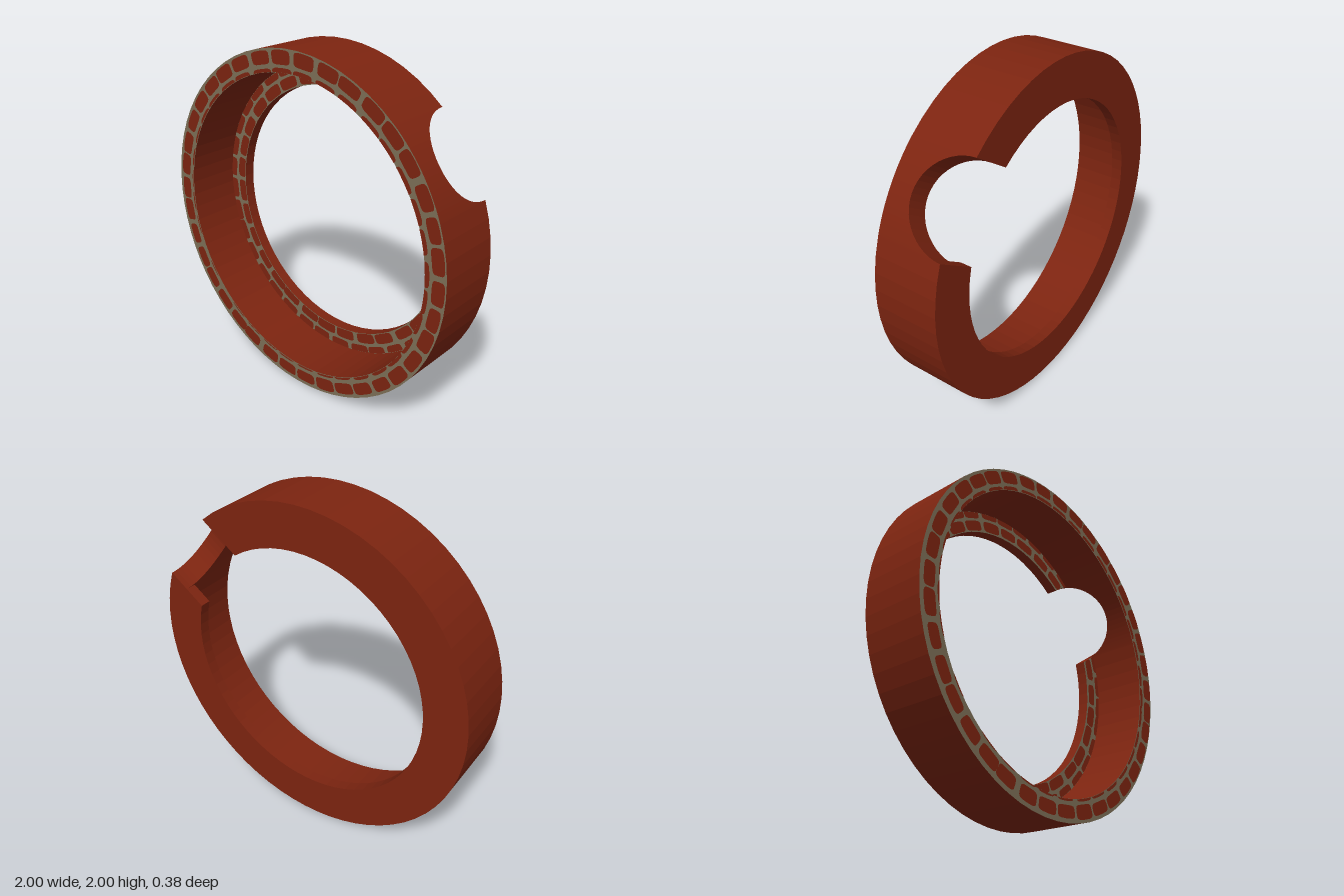
import * as THREE from 'three';
import { mergeGeometries } from 'three/addons/utils/BufferGeometryUtils.js';

const OUTER = 1, INNER = 0.875, LIP = 0.75;          // radii
const FRONT = 0.19, BACK = -0.19, LIP_Z = -0.125;    // depths
const AXIS = THREE.MathUtils.degToRad(35);           // direction of the notch
const CUT = 0.25;                                    // notch radius
const SEGMENTS = 60, CUT_SEGMENTS = 24;

const polar = (r, a, z) => new THREE.Vector3(r * Math.cos(a), 1 + r * Math.sin(a), z);

// Flat-shaded geometry from a list of quads, corners counter-clockwise
function quads(list) {
  const pts = list.flatMap(([a, b, c, d]) => [a, b, c, a, c, d]);
  const g = new THREE.BufferGeometry().setFromPoints(pts);
  g.computeVertexNormals();
  return g;
}

// Join chosen edges of neighbouring cross-sections
function loft(sections, edges) {
  const out = [];
  for (let i = 0; i < sections.length - 1; i++) {
    const s = sections[i], n = sections[i + 1];
    for (const e of edges) {
      const f = (e + 1) % s.length;
      out.push([s[e], n[e], n[f], s[f]]);
    }
  }
  return out;
}

// L-shaped section, swept around everything but the notch
function ringSections() {
  const profile = [[OUTER, BACK], [OUTER, FRONT], [INNER, FRONT], [INNER, LIP_Z], [LIP, LIP_Z], [LIP, BACK]];
  return Array.from({ length: SEGMENTS + 1 }, (_, i) => profile.map(([r, z]) => {
    const half = Math.asin(CUT / r);
    return polar(r, AXIS + half + (i / SEGMENTS) * 2 * (Math.PI - half), z);
  }));
}

// Wall section above the round notch
function notchSections() {
  return Array.from({ length: CUT_SEGMENTS + 1 }, (_, i) => {
    const phi = (i / CUT_SEGMENTS) * Math.PI;
    const floor = BACK + CUT * Math.sin(phi);
    return [[OUTER, floor], [OUTER, FRONT], [INNER, FRONT], [INNER, floor]].map(([r, z]) =>
      polar(r, AXIS + Math.asin(-CUT * Math.cos(phi) / r), z));
  });
}

function seeded(seed) {
  return () => (seed = (seed * 16807) % 2147483647) / 2147483647;
}

// One rounded brick face, kept inside a ring and out of the notch if asked
function brick(angle, halfAngle, radius, halfHeight, lo, hi, z, notched) {
  const side = Math.sin(angle - AXIS) < 0 ? -1 : 1;
  const pts = [];
  for (let k = 0; k < 20; k++) {
    const t = (k / 20) * Math.PI * 2;
    const c = Math.cos(t), s = Math.sin(t);
    let a = angle + halfAngle * Math.sign(c) * Math.abs(c) ** 0.45;
    const r = THREE.MathUtils.clamp(radius + halfHeight * Math.sign(s) * Math.abs(s) ** 0.45, lo, hi);
    if (notched && Math.cos(a - AXIS) > 0 && Math.abs(r * Math.sin(a - AXIS)) < CUT)
      a = AXIS + side * Math.asin(CUT / r);
    pts.push(new THREE.Vector2(r * Math.cos(a), 1 + r * Math.sin(a)));
  }
  return new THREE.ShapeGeometry(new THREE.Shape(pts)).translate(0, 0, z);
}

// Three courses of bricks; the middle one runs over both faces
function brickwork(lo, hi, z, notched) {
  const courses = [[0.948, 0.037, 38], [0.863, 0.03, 36], [0.785, 0.032, 31]];
  const out = [];
  courses.forEach(([r0, h, count], row) => {
    const rand = seeded(71 + row * 977);
    for (let i = 0; i < count; i++) {
      const step = (Math.PI * 2) / count;
      const a = (i + 0.5 * (row % 2) + (rand() - 0.5) * 0.12) * step;
      const half = step * (0.41 + rand() * 0.05);
      const r = r0 + 0.01 * Math.cos(a - 0.7);
      const hh = h * (0.92 + rand() * 0.16);
      const inNotch = Math.cos(a - AXIS) > 0 && Math.abs(r * Math.sin(a - AXIS)) < CUT;
      if (r + hh < lo + 0.006 || r - hh > hi - 0.006 || (notched && inNotch)) continue;
      out.push(brick(a, half, r, hh, lo, hi, z, notched));
    }
  });
  return mergeGeometries(out);
}

export function createModel() {
  const group = new THREE.Group();
  const red = new THREE.MeshStandardMaterial({ color: 0x7c2410, flatShading: true });
  red.name = 'brickRed';
  const grey = new THREE.MeshStandardMaterial({ color: 0x7c6e56, flatShading: true });
  grey.name = 'mortar';
  const add = (name, geometry, material) => {
    const mesh = new THREE.Mesh(geometry, material);
    mesh.name = name;
    group.add(mesh);
  };

  const ring = ringSections(), notch = notchSections();

  // Walls, back face and inner rim
  add('ringBody', quads(loft(ring, [0, 2, 4, 5])), red);
  add('notchWall', quads(loft(notch, [0, 2, 3])), red);

  // Cut ends of the back lip
  const ends = [ring[0], ring[SEGMENTS]].map((s, i) => {
    const corner = s[3].clone().setZ(BACK);
    const q = [s[5], corner, s[3], s[4]];
    return i ? q.reverse() : q;
  });
  add('lipEnds', quads(ends), red);

  // Mortar on the two front-facing rings
  add('frontMortar', quads([...loft(ring, [1]), ...loft(notch, [1])]), grey);
  add('lipMortar', quads(loft(ring, [3])), grey);

  // Brick faces
  add('frontBricks', brickwork(INNER + 0.001, OUTER - 0.003, FRONT + 0.003, false), red);
  add('lipBricks', brickwork(LIP + 0.001, INNER - 0.003, LIP_Z + 0.003, true), red);
  return group;
}
